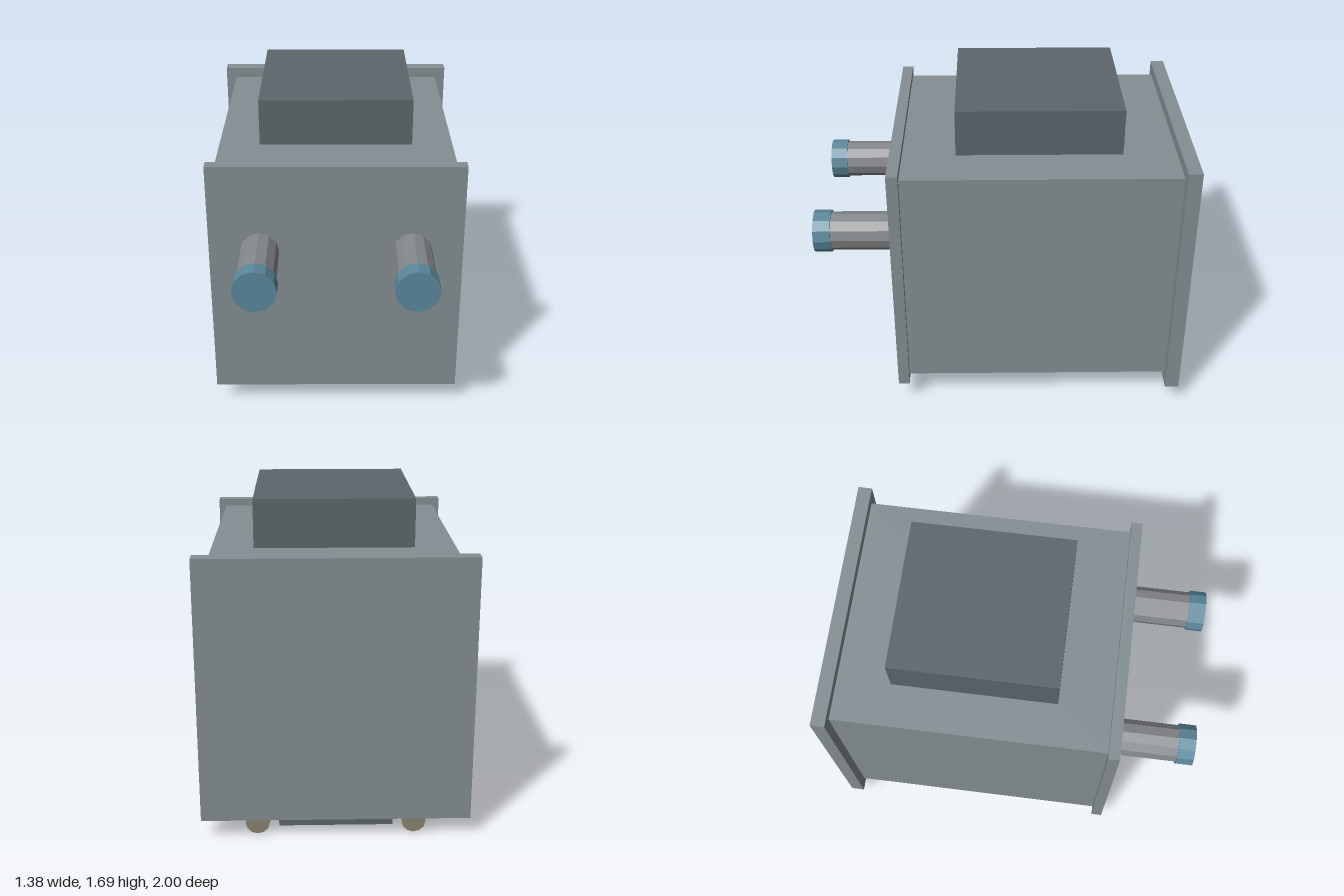
import * as THREE from 'three';

const material = (name, color, flatShading = false) => {
  const m = new THREE.MeshStandardMaterial({ color, flatShading });
  m.name = name;
  return m;
};

export function createModel() {
  const model = new THREE.Group();
  model.name = 'boxMachine';
  const casing = material('casingGrey', 0x848e93);
  const dark = material('darkGrey', 0x5d666c);
  const blue = material('blue', 0x5b889b, true);
  const steel = material('steelGrey', 0x85888b, true);
  const tan = material('tan', 0x8a8470, true);

  // Box given by its min and max corners
  function box(name, mat, [x0, y0, z0], [x1, y1, z1]) {
    const mesh = new THREE.Mesh(new THREE.BoxGeometry(x1 - x0, y1 - y0, z1 - z0), mat);
    mesh.position.set((x0 + x1) / 2, (y0 + y1) / 2, (z0 + z1) / 2);
    mesh.name = name;
    model.add(mesh);
  }

  // Twelve-sided cylinder lying along z
  function rod(name, mat, radius, x, y, z0, z1) {
    const geometry = new THREE.CylinderGeometry(radius, radius, z1 - z0, 12).rotateX(Math.PI / 2);
    const mesh = new THREE.Mesh(geometry, mat);
    mesh.position.set(x, y, (z0 + z1) / 2);
    mesh.name = name;
    model.add(mesh);
  }

  // Casing with wider end plates
  box('body', casing, [-0.63, 0.16, -0.93], [0.63, 1.42, 0.52]);
  box('frontPlate', casing, [-0.67, 0.12, 0.515], [0.67, 1.46, 0.575]);
  box('backPlate', casing, [-0.69, 0.1, -1], [0.69, 1.48, -0.925]);

  // Raised top block and underside block
  box('topBlock', dark, [-0.408, 1.44, -0.637], [0.408, 1.69, 0.233]);
  box('bottomBlock', dark, [-0.292, 0.05, -0.965], [0.292, 0.145, -0.38]);

  // Mirrored tubes, caps, feet and pads
  for (const [side, s] of [['left', 1], ['right', -1]]) {
    const x = s * 0.403;
    rod(side + 'Tube', steel, 0.104, x, 0.978, 0.56, 0.91);
    rod(side + 'TubeCap', blue, 0.114, x, 0.978, 0.908, 1);
    rod(side + 'Foot', tan, 0.0625, x, 0.0625, -0.955, -0.812);
    box(side + 'Pad', blue, [x - 0.062, 0.115, -0.21], [x + 0.062, 0.165, 0.1]);
  }
  return model;
}
